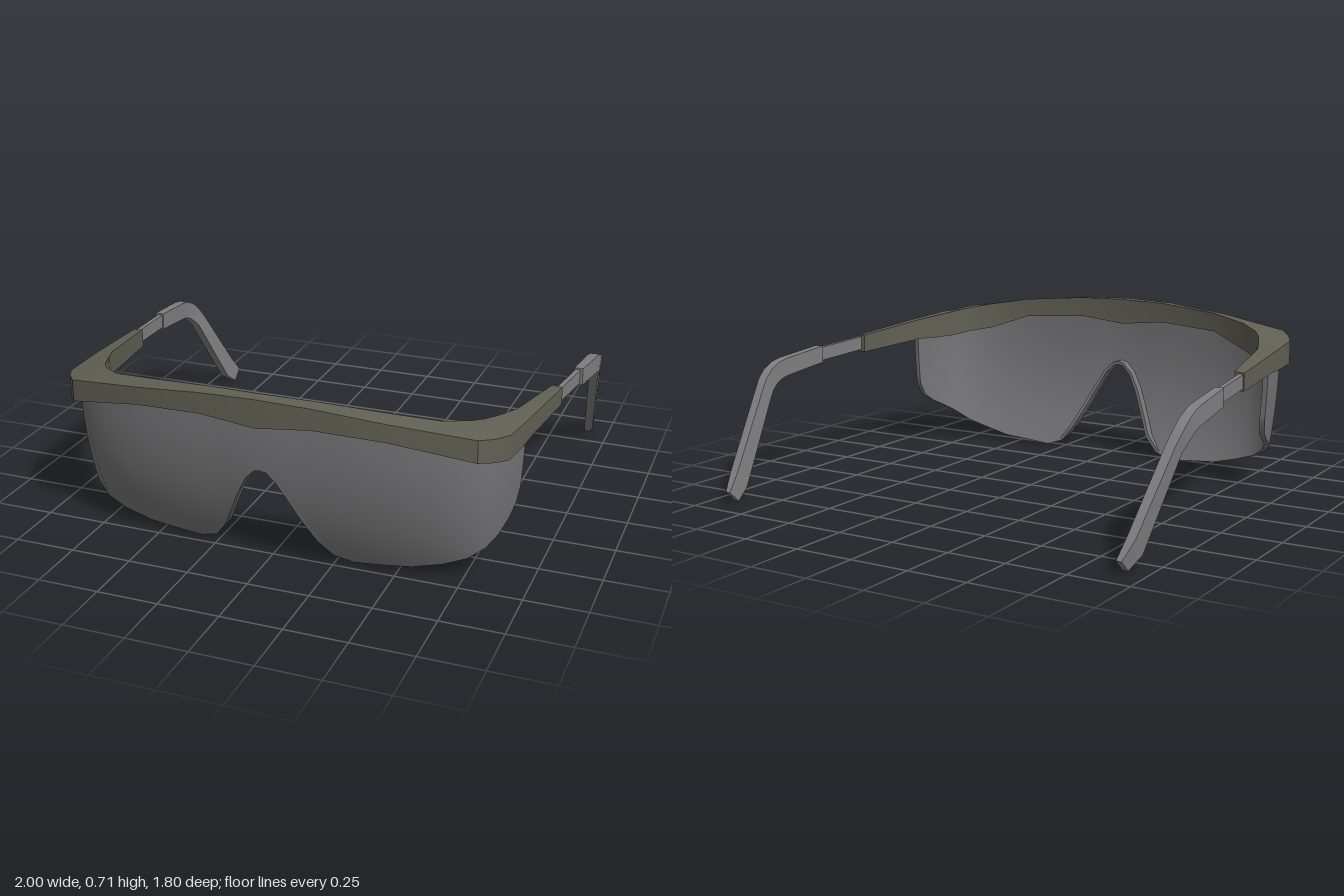
import * as THREE from 'three';
import { toCreasedNormals } from 'three/addons/utils/BufferGeometryUtils.js';

const material = (name, color) => {
  const m = new THREE.MeshStandardMaterial({ color });
  m.name = name;
  return m;
};

// Closed solid lofted through rings of points [x, y, z], capped at both ends
function loft(rings, crease = 0.6) {
  const m = rings[0].length, tris = [];
  const quad = (a, b, c, d) => tris.push([a, b, c], [a, c, d]);
  for (let i = 0; i < rings.length - 1; i++)
    for (let j = 0; j < m; j++) {
      const k = (j + 1) % m;
      quad(rings[i][j], rings[i + 1][j], rings[i + 1][k], rings[i][k]);
    }
  const first = rings[0], last = rings[rings.length - 1];
  for (let j = 0; j < m / 2 - 1; j++) {
    quad(first[j], first[j + 1], first[m - 2 - j], first[m - 1 - j]);
    quad(last[m - 1 - j], last[m - 2 - j], last[j + 1], last[j]);
  }
  // Turn every face outward
  let volume = 0;
  for (const [a, b, c] of tris)
    volume += a[0] * (b[1] * c[2] - b[2] * c[1]) + a[1] * (b[2] * c[0] - b[0] * c[2]) + a[2] * (b[0] * c[1] - b[1] * c[0]);
  if (volume < 0) tris.forEach((t) => t.reverse());
  const geometry = new THREE.BufferGeometry();
  geometry.setAttribute('position', new THREE.Float32BufferAttribute(tris.flat(2), 3));
  return toCreasedNormals(geometry, crease);
}

// Half list starting at the middle, mirrored to the full width
const mirrored = (half, flip) => [...half.slice(1).reverse().map(flip), ...half];

// Lens columns: x, z along the upper edge, and height of the lower edge
const LENS = mirrored([
  [0, 0.87, 0.41], [0.025, 0.87, 0.405], [0.06, 0.87, 0.37], [0.1, 0.868, 0.3], [0.15, 0.865, 0.2],
  [0.2, 0.862, 0.105], [0.26, 0.86, 0.035], [0.34, 0.855, 0.01], [0.46, 0.845, 0.02],
  [0.58, 0.825, 0.03], [0.7, 0.795, 0.06], [0.79, 0.75, 0.09], [0.85, 0.69, 0.13],
  [0.88, 0.61, 0.165], [0.895, 0.52, 0.2], [0.903, 0.45, 0.24], [0.906, 0.42, 0.3],
], ([x, z, y]) => [-x, z, y]);

// The lens curls back and narrows toward its lower edge
function lensPoint(x, z, y) {
  const t = Math.max(0, (0.6 - y) / 0.6);
  const back = 0.15 * t ** 2.4;
  return [x * (1 - 0.05 * t * t), y, 0.42 + (z - 0.42) * (1 - back / 0.45)];
}

function lensGeometry() {
  const rows = 9, thickness = 0.022;
  return loft(LENS.map(([x, z, low], i) => {
    const a = LENS[Math.max(0, i - 1)], b = LENS[Math.min(LENS.length - 1, i + 1)];
    const tx = b[0] - a[0], tz = b[1] - a[1], l = Math.hypot(tx, tz);
    const high = 0.65 - 0.1 * x * x;
    const outer = [], inner = [];
    for (let r = 0; r <= rows; r++) {
      const p = lensPoint(x, z, high + (low - high) * r / rows);
      outer.push(p);
      inner.unshift([p[0] + tz / l * thickness, p[1], p[2] - tx / l * thickness]);
    }
    return [...outer, ...inner];
  }), 0.7);
}

// Flange running back from the nose cut-out
function noseGeometry() {
  const edge = LENS.filter(([x]) => Math.abs(x) < 0.27);
  return loft(edge.map(([x, z, low]) => {
    const [px, py, pz] = lensPoint(x, z, low);
    const depth = Math.abs(x) > 0.22 ? 0.028 : 0.06;
    const side = Math.sign(x) * Math.min(1, Math.abs(x) / 0.08) * 0.014;
    const up = 0.016 - Math.abs(side) * 0.7;
    return [[px, py, pz - 0.004], [px, py, pz - depth],
      [px + side, py + up, pz - depth], [px + side, py + up, pz - 0.004]];
  }), 0.7);
}

// Brow bar: outer x, z; inner x, z; outer top, inner top, underside
const BROW = mirrored([
  [0, 0.9, 0, 0.84, 0.715, 0.715, 0.6],
  [0.22, 0.894, 0.21, 0.83, 0.708, 0.712, 0.623],
  [0.5, 0.868, 0.49, 0.79, 0.68, 0.69, 0.608],
  [0.82, 0.795, 0.66, 0.73, 0.637, 0.663, 0.547],
  [0.87, 0.73, 0.75, 0.65, 0.624, 0.645, 0.53],
  [0.905, 0.66, 0.79, 0.585, 0.616, 0.633, 0.517],
  [0.92, 0.52, 0.83, 0.49, 0.607, 0.62, 0.514],
  [0.93, 0.4, 0.862, 0.4, 0.6, 0.61, 0.517],
  [0.957, 0.04, 0.915, 0.04, 0.573, 0.577, 0.5],
], ([xo, zo, xi, zi, ...ys]) => [-xo, zo, -xi, zi, ...ys]);

const browGeometry = () => loft(BROW.map(([xo, zo, xi, zi, to, ti, low]) =>
  [[xo, to, zo], [xo, low, zo], [xi, low, zi], [xi, ti, zi]]), 0.5);

// Temple sections: top z, y; bottom z, y; inner x, outer x
const ROD = [
  [0.07, 0.57, 0.07, 0.512, 0.93, 0.95],
  [-0.24, 0.552, -0.24, 0.493, 0.955, 0.975],
];
const TIP = [
  [-0.22, 0.56, -0.22, 0.487, 0.948, 0.985],
  [-0.45, 0.537, -0.43, 0.463, 0.958, 1],
  [-0.5, 0.526, -0.475, 0.455, 0.96, 1],
  [-0.55, 0.502, -0.512, 0.44, 0.958, 1],
  [-0.59, 0.469, -0.545, 0.416, 0.954, 0.996],
  [-0.63, 0.42, -0.575, 0.384, 0.945, 0.985],
  [-0.845, 0.12, -0.79, 0.048, 0.903, 0.94],
  [-0.905, 0.05, -0.855, 0.002, 0.893, 0.916],
];
const templeGeometry = (sections, s) => loft(sections.map(([tz, ty, bz, by, xi, xo]) =>
  [[s * xo, ty, tz], [s * xo, by, bz], [s * xi, by, bz], [s * xi, ty, tz]]), 0.5);

export function createModel() {
  const frame = material('olive grey frame', 0x606054);
  const lens = material('smoke grey lens', 0x747476);
  const temple = material('grey temple', 0x808082);

  const model = new THREE.Group();
  model.name = 'safetyGlasses';
  const add = (name, geometry, mat) => {
    const mesh = new THREE.Mesh(geometry, mat);
    mesh.name = name;
    model.add(mesh);
  };

  add('browFrame', browGeometry(), frame);
  add('lens', lensGeometry(), lens);
  add('noseFlange', noseGeometry(), lens);
  for (const [side, s] of [['left', 1], ['right', -1]]) {
    add(side + 'TempleRod', templeGeometry(ROD, s), temple);
    add(side + 'TempleTip', templeGeometry(TIP, s), temple);
  }
  return model;
}
